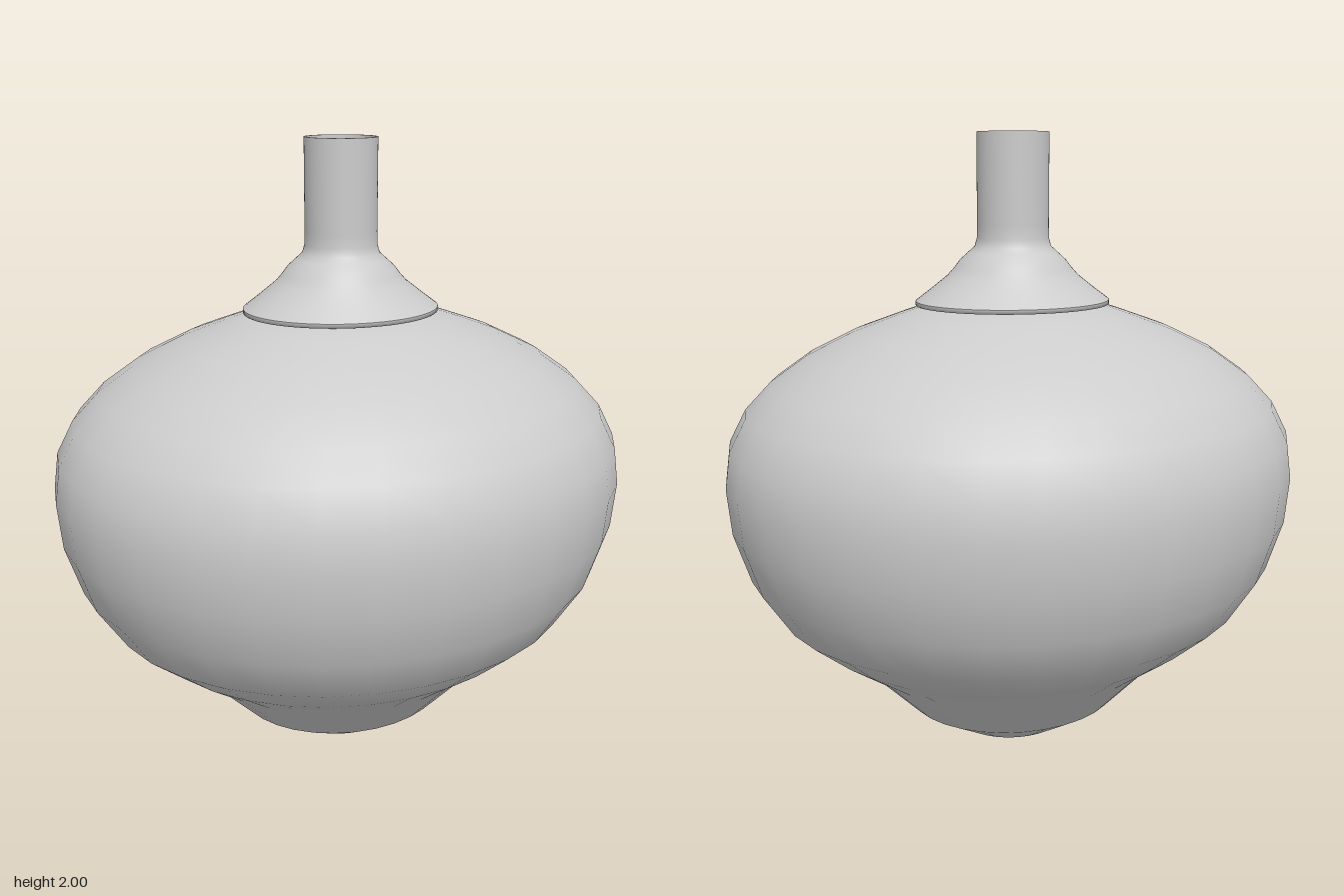
import * as THREE from 'three';
import { mergeVertices } from 'three/addons/utils/BufferGeometryUtils.js';

const material = new THREE.MeshStandardMaterial({ color: 0xcccccc, side: THREE.DoubleSide });
const OVAL = 0.88; // depth of the oval plan relative to its width

// Oval in plan below the neck, blending to a true circle at the pipe
const depthAt = (y) => THREE.MathUtils.lerp(OVAL, 1, THREE.MathUtils.smoothstep(y, 1.49, 1.66));

// Revolve a [radius, height] profile, squash it in z by height, and smooth it without a seam
function turned(name, profile, sides) {
  let geometry = new THREE.LatheGeometry(profile.map(([r, y]) => new THREE.Vector2(r, y)), sides);
  const p = geometry.attributes.position;
  for (let i = 0; i < p.count; i++) p.setZ(i, p.getZ(i) * depthAt(p.getY(i)));
  geometry.deleteAttribute('uv');
  geometry.deleteAttribute('normal');
  geometry = mergeVertices(geometry, 1e-5);
  geometry.computeVertexNormals();
  const mesh = new THREE.Mesh(geometry, material);
  mesh.name = name;
  return mesh;
}

export function createModel() {
  const model = new THREE.Group();
  model.name = 'bulbVessel';

  // Bulbous body tapering to a rounded foot
  model.add(turned('body', [
    [0, 0], [0.185, 0.04], [0.355, 0.14], [0.51, 0.3], [0.65, 0.4], [0.77, 0.5],
    [0.86, 0.64], [0.91, 0.8], [0.922, 0.945], [0.905, 1.06], [0.852, 1.16],
    [0.77, 1.245], [0.655, 1.325], [0.51, 1.395], [0.37, 1.445], [0.28, 1.475],
    [0.14, 1.485], [0, 1.488],
  ], 32));

  // Collar and neck, split where the edges are sharp
  const neck = new THREE.Group();
  neck.name = 'neck';
  neck.add(
    turned('collarRim', [[0.27, 1.473], [0.31, 1.475], [0.31, 1.488]], 64),
    turned('collarFlare', [
      [0.31, 1.488], [0.26, 1.525], [0.208, 1.565], [0.185, 1.59], [0.168, 1.612],
      [0.14, 1.637], [0.12, 1.655], [0.113, 1.68], [0.112, 1.72], [0.112, 2],
    ], 64),
    turned('neckLip', [[0.112, 2], [0.105, 2]], 64),
    turned('neckBore', [[0.105, 2], [0.105, 1.48]], 64),
  );
  model.add(neck);
  return model;
}
